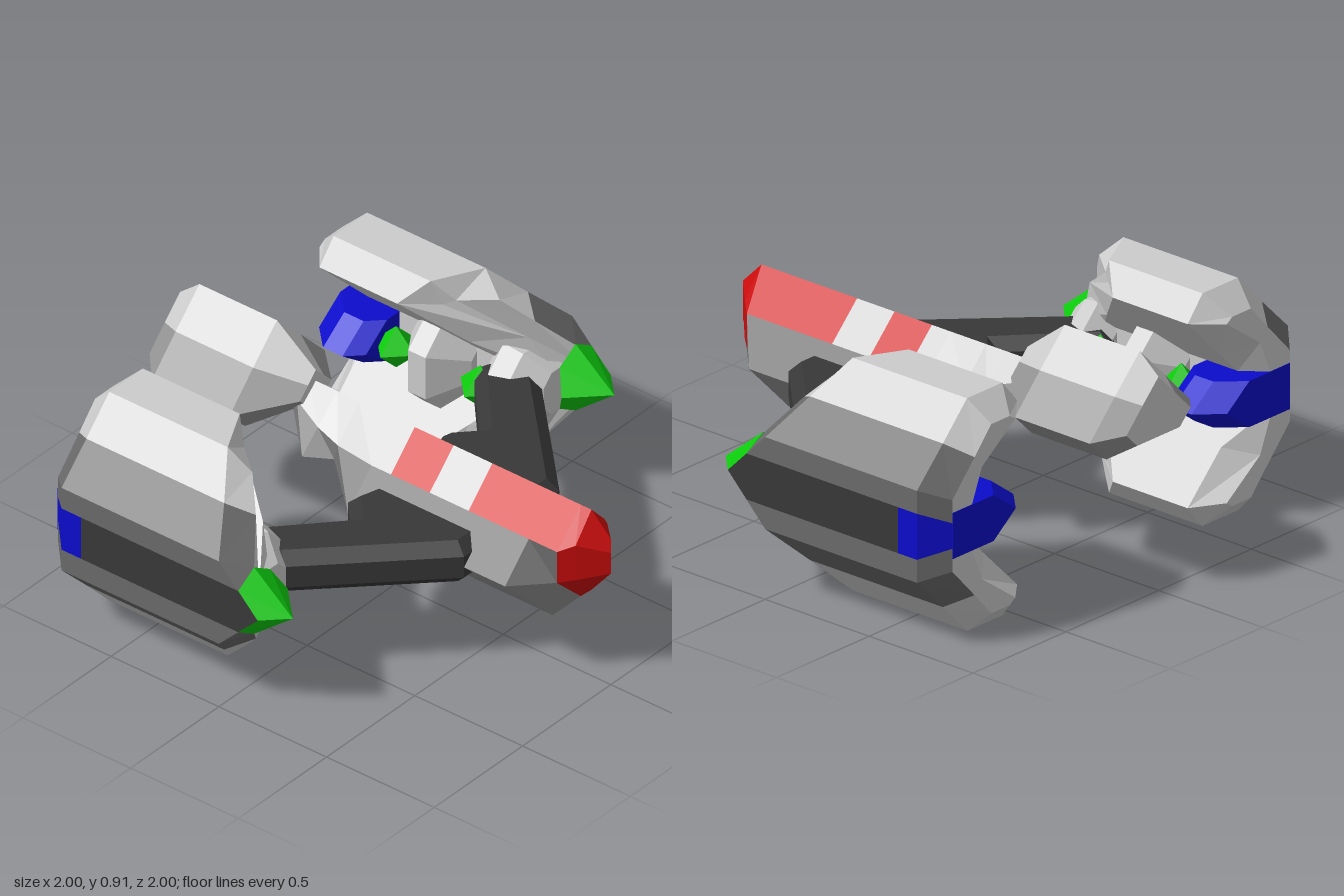
import * as THREE from 'three';

const LIGHT = 0xcccccc, SOFT = 0x929292, MID = 0x6a6a6a, DARK = 0x383838;
const RED = 0xcc0c0c, GREEN = 0x0ccc0c, BLUE = 0x0c0ccc;
const MID_Y = 0.455;

function named(name, geometry, color) {
  const mesh = new THREE.Mesh(geometry, new THREE.MeshStandardMaterial({ color, flatShading: true }));
  mesh.name = name;
  return mesh;
}

// Skins rings of [x, y, z] points (counter-clockwise from the front, running
// back to front) and closes both ends; paint(x, y, z) picks each panel's colour.
function loft(name, rings, paint) {
  const panels = new Map();
  const add = (color, ...pts) => {
    if (!panels.has(color)) panels.set(color, []);
    panels.get(color).push(...pts.flat());
  };
  const mean = (pts, k) => pts.reduce((s, p) => s + p[k], 0) / pts.length;
  for (let i = 0; i + 1 < rings.length; i++) {
    const a = rings[i], b = rings[i + 1], n = a.length;
    for (let j = 0; j < n; j++) {
      const k = (j + 1) % n, quad = [a[j], a[k], b[k], b[j]];
      const color = paint(mean(quad, 0), mean(quad, 1), mean(quad, 2));
      add(color, a[j], a[k], b[k], a[j], b[k], b[j]);
    }
  }
  for (const [ring, facing] of [[rings[0], -1], [rings[rings.length - 1], 1]]) {
    const flat = ring.map(p => new THREE.Vector2(p[0], p[1]));
    if (Math.abs(THREE.ShapeUtils.area(flat)) < 1e-4) continue;
    const color = paint(mean(ring, 0), mean(ring, 1), mean(ring, 2));
    for (const [a, b, c] of THREE.ShapeUtils.triangulateShape(flat, [])) {
      const turn = THREE.ShapeUtils.area([flat[a], flat[b], flat[c]]) * facing;
      if (turn > 0) add(color, ring[a], ring[b], ring[c]);
      else add(color, ring[a], ring[c], ring[b]);
    }
  }
  const group = new THREE.Group();
  group.name = name;
  for (const [color, pts] of panels) {
    const g = new THREE.BufferGeometry();
    g.setAttribute('position', new THREE.Float32BufferAttribute(pts, 3));
    g.computeVertexNormals();
    group.add(named(name + 'Panel', g, color));
  }
  return group;
}

// Diamond hull with a painted roof strip and a sharp nose
function hull() {
  // z, side x, side y, shoulder x, shoulder y, roof y, keel y
  const sections = [
    [-0.40, 0.09, 0.18, 0.07, 0.21, 0.27, 0.12],
    [-0.27, 0.20, 0.09, 0.11, 0.17, 0.27, 0.05],
    [-0.17, 0.14, 0.09, 0.12, 0.14, 0.27, 0.03],
    [0.00, 0.27, 0, 0.135, 0.135, 0.27, -0.02],
    [0.09, 0.27, 0, 0.135, 0.135, 0.27, -0.04],
    [0.27, 0.27, 0, 0.135, 0.135, 0.27, -0.17],
    [0.37, 0.27, 0, 0.135, 0.135, 0.27, -0.27],
    [0.45, 0.27, 0, 0.135, 0.135, 0.27, -0.27],
    [0.73, 0.27, 0, 0.135, 0.135, 0.27, -0.27],
    [0.86, 0.135, 0, 0.135, 0.135, 0.27, -0.13],
    [0.91, 0.09, 0.01, 0.09, 0.16, 0.27, -0.08],
    [1.00, 0, 0.08, 0, 0.12, 0.18, 0.03],
  ];
  const rings = sections.map(([z, sx, sy, hx, hy, top, keel]) => [
    [sx, sy, z], [hx, hy, z], [0, top, z], [-hx, hy, z], [-sx, sy, z], [0, keel, z],
  ]);
  return loft('hull', rings, (x, y, z) => {
    if (z > 0.86) return RED;
    if (y < 0 || z < -0.2 && y < 0.12) return SOFT;
    if (Math.abs(x) > 0.08 || y < 0.15) return MID;
    return z > 0.45 || (z > 0.09 && z < 0.27) ? RED : LIGHT;
  });
}

// Raised pod behind the hull
function rearPod() {
  const outline = [[0.27, 0.18], [0.135, 0.32], [0, 0.455], [-0.135, 0.32],
    [-0.27, 0.18], [-0.18, 0.09], [0.18, 0.09]];
  const rings = [[-1, 0.64], [-0.91, 1], [-0.55, 1], [-0.37, 0.33]].map(([z, s]) =>
    outline.map(([x, y]) => [x * s, 0.25 + (y - 0.25) * s, z]));
  return loft('rearPod', rings, (x, y) => (Math.abs(x) < 0.08 && y > 0.2 ? LIGHT : SOFT));
}

// C-shaped engine shell, open towards the hull
function engineShell() {
  // upper half: x, y, front z, then the inset rim x, y, front z
  const upper = [
    [0.73, 0.09, -0.09, 0.82, 0.05, 0.09],
    [0.64, 0.18, -0.18, 0.75, 0.22, 0.00],
    [0.46, 0.36, -0.37, 0.57, 0.35, -0.25],
    [0.54, 0.455, -0.28, 0.60, 0.37, -0.21],
    [0.73, 0.455, -0.18, 0.70, 0.37, -0.09],
    [0.86, 0.32, -0.09, 0.79, 0.27, 0.00],
    [1.00, 0.18, 0.00, 0.91, 0.14, 0.09],
    [1.00, 0.09, 0.09, 0.93, 0.05, 0.13],
  ];
  const lower = upper.map(([x, y, z, ix, iy, iz]) => [x, -y, z, ix, -iy, iz]).reverse();
  const all = [...upper, [1, 0, 0.18, 0.94, 0, 0.18], ...lower].reverse();
  const rings = [
    all.map(p => [Math.min(p[3], 0.91), p[4], -0.82]),
    all.map(p => [p[0], p[1], -0.73]),
    all.map(p => [p[0], p[1], -0.64]),
    all.map(p => [p[0], p[1], p[2]]),
    all.map(p => [p[3], p[4], p[5]]),
  ];
  return loft('engineShell', rings, (x, y, z) => {
    if (x > 0.94 && Math.abs(y) < 0.09) return z < -0.64 ? BLUE : DARK;
    return x > 0.87 ? MID : LIGHT;
  });
}

// Bar across the back of the engine, pointed on its inner end
function engineBar() {
  const outline = [[0.91, 0.09], [0.6, 0.09], [0.48, 0], [0.6, -0.09], [0.91, -0.09]];
  const rings = [[-0.822, 0.09], [-0.73, 0], [-0.64, 0], [-0.58, 0.06]].map(([z, inset]) =>
    outline.map(([x, y]) => [x < 0.9 ? x + inset : x, y, z]));
  return loft('engineBar', rings, () => BLUE);
}

// Faceted lamp on the front of the engine
function frontLamp() {
  const outline = [[1, 0, 0.18], [1, 0.09, 0.09], [0.91, 0.145, 0.09], [0.82, 0.09, 0.09],
    [0.775, 0, 0.135], [0.82, -0.09, 0.09], [0.91, -0.145, 0.09], [1, -0.09, 0.09]];
  return loft('frontLamp', [outline, outline.map(() => [0.91, 0, 0.27])], () => GREEN);
}

// Swept arm from hull to engine, with bevelled edges
function pylon() {
  const plan = [[0.13, 0.54], [0.27, 0.54], [0.73, 0.08], [0.82, 0], [0.8, -0.1],
    [0.66, -0.18], [0.365, 0.09], [0.27, 0], [0.13, 0.04]];
  const bevel = 0.045;
  const shape = new THREE.Shape(plan.map(([x, z]) => new THREE.Vector2(x, -z)));
  const g = new THREE.ExtrudeGeometry(shape, {
    depth: 0.18 - 2 * bevel, bevelThickness: bevel, bevelSize: bevel, bevelOffset: -bevel, bevelSegments: 1,
  });
  g.rotateX(-Math.PI / 2).translate(0, bevel - 0.09, 0);
  return named('pylon', g, DARK);
}

// Six-sided block on the inside of the engine, tapered towards both ends
function innerBlock(name, innerX, rings) {
  const outline = [[0.84, -0.18], [0.84, 0.18], [innerX + 0.09, 0.18],
    [innerX, 0.09], [innerX, -0.09], [innerX + 0.09, -0.18]];
  return loft(name, rings.map(([z, s]) =>
    outline.map(([x, y]) => [0.84 + (x - 0.84) * s, y * s, z])), () => LIGHT);
}

function side() {
  const group = new THREE.Group();
  group.add(engineShell(), engineBar(), frontLamp(), pylon(),
    innerBlock('pylonJoint', 0.62, [[-0.15, 0.6], [-0.08, 1], [0, 0.9], [0.09, 0.5]]),
    innerBlock('middleBlock', 0.56, [[-0.5, 0.5], [-0.4, 1], [-0.32, 1], [-0.22, 0.5]]));
  // beads along the inside of the engine
  for (const [name, z] of [['frontBead', -0.14], ['rearBead', -0.53]]) {
    const bead = named(name, new THREE.OctahedronGeometry(0.09), GREEN);
    bead.position.set(0.65, 0, z);
    group.add(bead);
  }
  return group;
}

export function createModel() {
  const model = new THREE.Group();
  model.name = 'spaceship';
  const left = side(), right = side();
  left.name = 'leftWing';
  right.name = 'rightWing';
  right.scale.x = -1;
  const body = new THREE.Group();
  body.name = 'body';
  body.position.y = MID_Y;
  body.add(hull(), rearPod(), left, right);
  model.add(body);
  return model;
}
